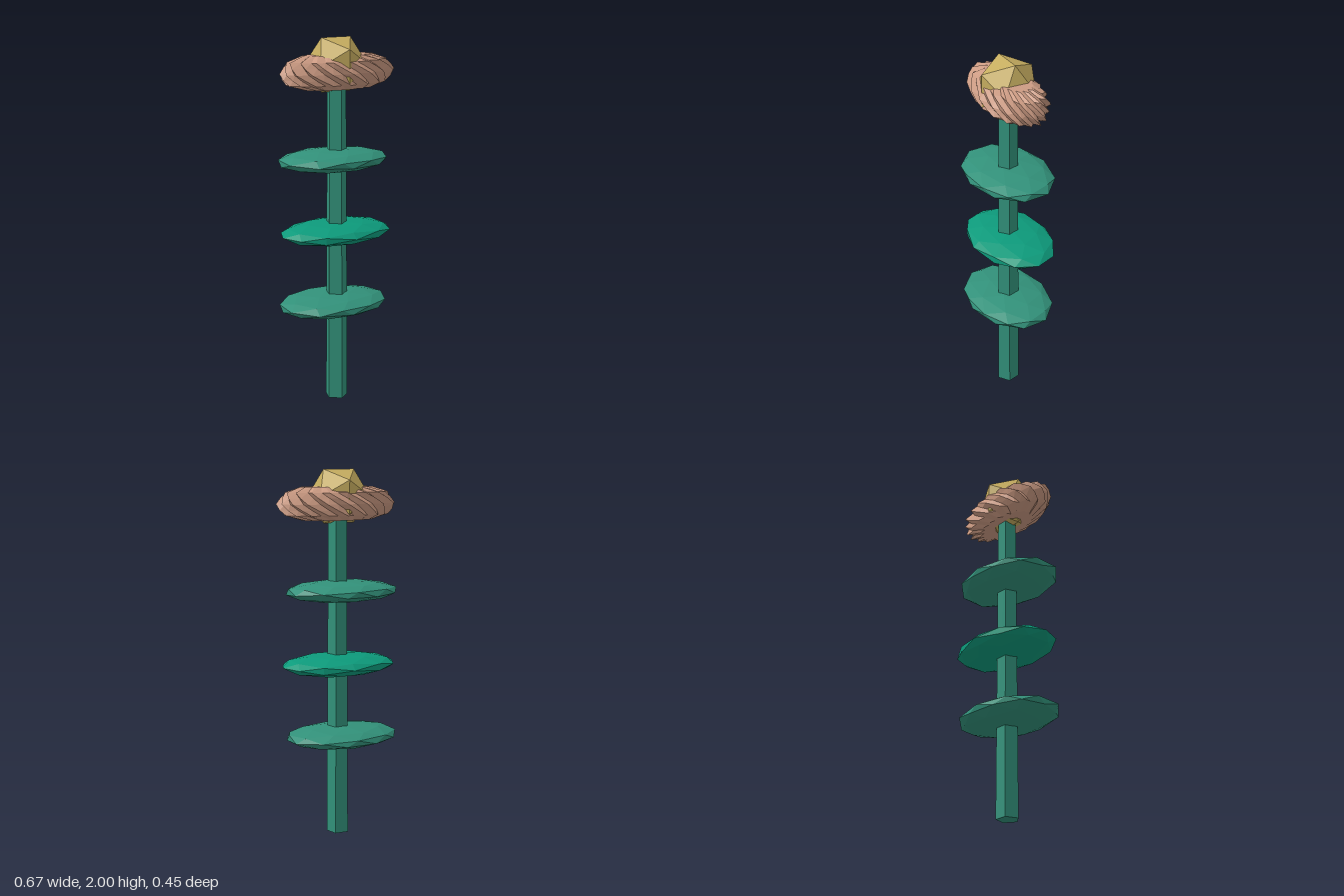
import * as THREE from 'three';

const CX = -0.008, CZ = 0.011; // stem axis

function part(name, geometry, color, x, y, z) {
  const material = new THREE.MeshStandardMaterial({ color, flatShading: true });
  const mesh = new THREE.Mesh(geometry, material);
  mesh.name = name;
  mesh.position.set(x, y, z);
  return mesh;
}

// Flattened faceted leaf disc; the tilt turns the facets before flattening
function leafGeometry(rx, ry, rz, tiltX, tiltZ) {
  return new THREE.IcosahedronGeometry(1, 1).rotateZ(tiltZ).rotateX(tiltX).scale(rx, ry, rz);
}

// Flattened ruff of petals: alternate columns step in and out on every ring
function petalGeometry() {
  const columns = 36;
  const profile = [ // height, radius
    [-0.09, 0], [-0.088, 0.6], [-0.06, 0.87], [-0.032, 0.93], [0, 0.98],
    [0.032, 0.93], [0.06, 0.87], [0.088, 0.6], [0.09, 0],
  ];
  const points = profile.map(([y, r]) => new THREE.Vector2(r, y));
  const geometry = new THREE.LatheGeometry(points, columns);
  const p = geometry.attributes.position;
  for (let i = 0; i < p.count; i++) {
    const column = Math.floor(i / points.length) % columns;
    const row = i % points.length;
    const spike = (column + row) % 2 ? 0.91 : 1.03;
    const ripple = 1 + 0.025 * Math.sin(column * 2.4 + row * 1.7);
    const k = spike * ripple;
    p.setXYZ(i, p.getX(i) * k * 0.332, p.getY(i), p.getZ(i) * k * 0.16);
  }
  geometry.computeVertexNormals();
  return geometry;
}

export function createModel() {
  const model = new THREE.Group();
  model.name = 'flower';

  // Five-sided tapering stem
  model.add(part('stem', new THREE.CylinderGeometry(0.053, 0.063, 1.8, 5), 0x32917a, CX, 0.9, CZ));

  // Three leaf discs, the middle one brighter
  const outer = () => leafGeometry(0.322, 0.06, 0.229, 0.25, 0.365);
  model.add(part('lowerLeaf', outer(), 0x32917a, -0.025, 0.55, 0.003));
  model.add(part('middleLeaf', leafGeometry(0.325, 0.06, 0.222, 0, 0), 0x0d9a7b, -0.005, 0.95, 0));
  model.add(part('upperLeaf', outer(), 0x32917a, -0.025, 1.35, 0.003));

  // Blossom
  model.add(part('petals', petalGeometry(), 0xcc9b83, 0, 1.82, CZ));
  model.add(part('blossomCentre', new THREE.IcosahedronGeometry(0.168, 0), 0xc6ad60, -0.0115, 1.857, 0.0125));

  return model;
}
